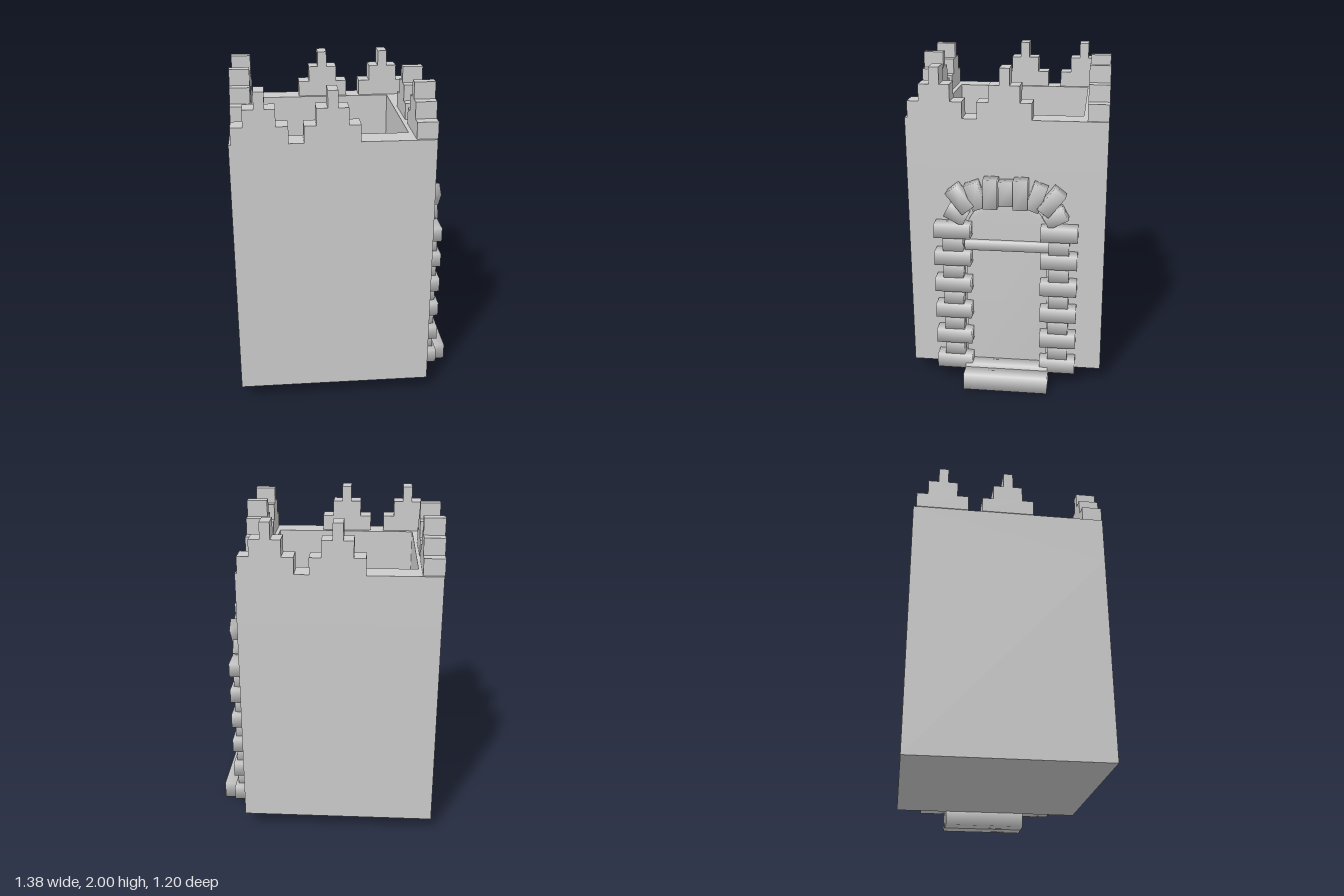
import * as THREE from 'three';
import { mergeVertices } from 'three/addons/utils/BufferGeometryUtils.js';

const grey = new THREE.MeshStandardMaterial({ color: 0xcccccc });
const DOOR_Z = -0.005;

// Share the corners so that the shading rolls softly over the edges
function soften(geometry) {
  geometry.deleteAttribute('normal');
  geometry.deleteAttribute('uv');
  const merged = mergeVertices(geometry);
  merged.computeVertexNormals();
  return merged;
}

function add(parent, name, geometry, x = 0, y = 0, z = 0) {
  const mesh = new THREE.Mesh(geometry, grey);
  mesh.name = name;
  mesh.position.set(x, y, z);
  parent.add(mesh);
  return mesh;
}

// Softly shaded block given by its limits
function block(parent, name, x0, x1, y0, y1, z0, z1) {
  return add(parent, name, soften(new THREE.BoxGeometry(x1 - x0, y1 - y0, z1 - z0)),
    (x0 + x1) / 2, (y0 + y1) / 2, (z0 + z1) / 2);
}

function rectangle(path, x0, x1, y0, y1) {
  path.moveTo(x0, y0);
  path.lineTo(x1, y0);
  path.lineTo(x1, y1);
  path.lineTo(x0, y1);
  path.closePath();
  return path;
}

// Main tower and the parapet wall around the sunken roof
function buildTower() {
  const tower = new THREE.Group();
  tower.name = 'tower';
  add(tower, 'towerBody', new THREE.BoxGeometry(1.19, 1.31, 1.2), -0.095, 0.745, 0);

  const ring = rectangle(new THREE.Shape(), -0.69, 0.5, -0.6, 0.6);
  ring.holes.push(rectangle(new THREE.Path(), -0.55, 0.355, -0.445, 0.45));
  const wall = new THREE.ExtrudeGeometry(ring, { depth: 0.3, bevelEnabled: false });
  wall.rotateX(-Math.PI / 2);
  add(tower, 'parapetWall', wall, 0, 1.4, 0);

  block(tower, 'roofHatch', -0.475, -0.045, 1.36, 1.415, -0.385, 0.015);
  return tower;
}

// Stepped merlons, two on each side, offset in a pinwheel
function buildMerlons() {
  const merlons = new THREE.Group();
  merlons.name = 'merlons';
  const profile = new THREE.Shape();
  const steps = [[0, 0.1], [0.07, 0.2], [0.135, 0.3], [0.195, 0.2], [0.255, 0.1]];
  const width = 0.325;
  profile.moveTo(0, 0);
  steps.forEach(([x, h], i) => {
    profile.lineTo(x, h);
    profile.lineTo(i < 4 ? steps[i + 1][0] : width, h);
  });
  profile.lineTo(width, 0);
  profile.closePath();
  const geometry = new THREE.ExtrudeGeometry(profile, { depth: 0.125, bevelEnabled: false });
  geometry.translate(-width / 2, 0, 0);

  for (let side = 0; side < 4; side++) {
    const pair = new THREE.Group();
    pair.name = 'merlonPair';
    pair.position.x = -0.095;
    pair.rotation.y = side * Math.PI / 2;
    for (const x of [-0.42, -0.008]) add(pair, 'merlon', geometry, x, 1.7, 0.475);
    merlons.add(pair);
  }
  return merlons;
}

// Arched door, lintel and steps
function buildDoor() {
  const door = new THREE.Group();
  door.name = 'door';
  const arch = new THREE.Shape();
  arch.moveTo(-0.25, 0.1);
  arch.lineTo(0.25, 0.1);
  arch.lineTo(0.25, 1.0);
  arch.absellipse(0, 1.0, 0.25, 0.21, 0, Math.PI, false);
  arch.closePath();
  const panel = new THREE.ExtrudeGeometry(arch, { depth: 0.03, bevelEnabled: false, curveSegments: 10 });
  panel.rotateY(Math.PI / 2);
  add(door, 'doorPanel', soften(panel), 0.48, 0, DOOR_Z);

  block(door, 'lintel', 0.49, 0.54, 0.89, 0.95, -0.27, 0.25);
  block(door, 'threshold', 0.49, 0.595, 0, 0.13, -0.27, 0.25);
  block(door, 'frontStep', 0.59, 0.69, 0, 0.105, -0.275, 0.25);
  return door;
}

// Stone surround: alternating jamb stones and a fan of arch stones
function buildSurround() {
  const surround = new THREE.Group();
  surround.name = 'doorSurround';
  for (const side of [-1, 1]) {
    const jamb = new THREE.Group();
    jamb.name = side > 0 ? 'frontJamb' : 'rearJamb';
    const stone = (name, y0, y1, inner, outer, x1) => {
      const a = DOOR_Z + side * inner, b = DOOR_Z + side * outer;
      block(jamb, name, 0.495, x1, y0, y1, Math.min(a, b), Math.max(a, b));
    };
    for (let i = 0; i < 6; i++) {
      const y = 0.095 + i * 0.177;
      stone('wideJambStone', y, y + 0.088, 0.212, 0.435, 0.592);
      if (i < 5) stone('narrowJambStone', y + 0.088, y + 0.177, 0.262, 0.385, 0.575);
    }
    surround.add(jamb);
  }

  // Offset from the door centre, height, tilt in degrees, length
  const fan = [[0.09, 1.265, 0, 0.18], [0.183, 1.245, 20, 0.165],
    [0.275, 1.225, 38, 0.165], [0.3, 1.125, 62, 0.13]];
  const archStone = (z, y, tilt, length, depth) => {
    const mesh = block(surround, 'archStone', 0.495, depth, y - length / 2, y + length / 2,
      DOOR_Z + z - 0.0435, DOOR_Z + z + 0.0435);
    mesh.rotation.x = THREE.MathUtils.degToRad(tilt);
  };
  archStone(0, 1.265, 0, 0.15, 0.575);
  fan.forEach(([z, y, tilt, length], i) => {
    const depth = i % 2 ? 0.575 : 0.592;
    archStone(z, y, tilt, length, depth);
    archStone(-z, y, -tilt, length, depth);
  });
  return surround;
}

export function createModel() {
  const model = new THREE.Group();
  model.name = 'watchtower';
  model.add(buildTower(), buildMerlons(), buildDoor(), buildSurround());
  return model;
}
